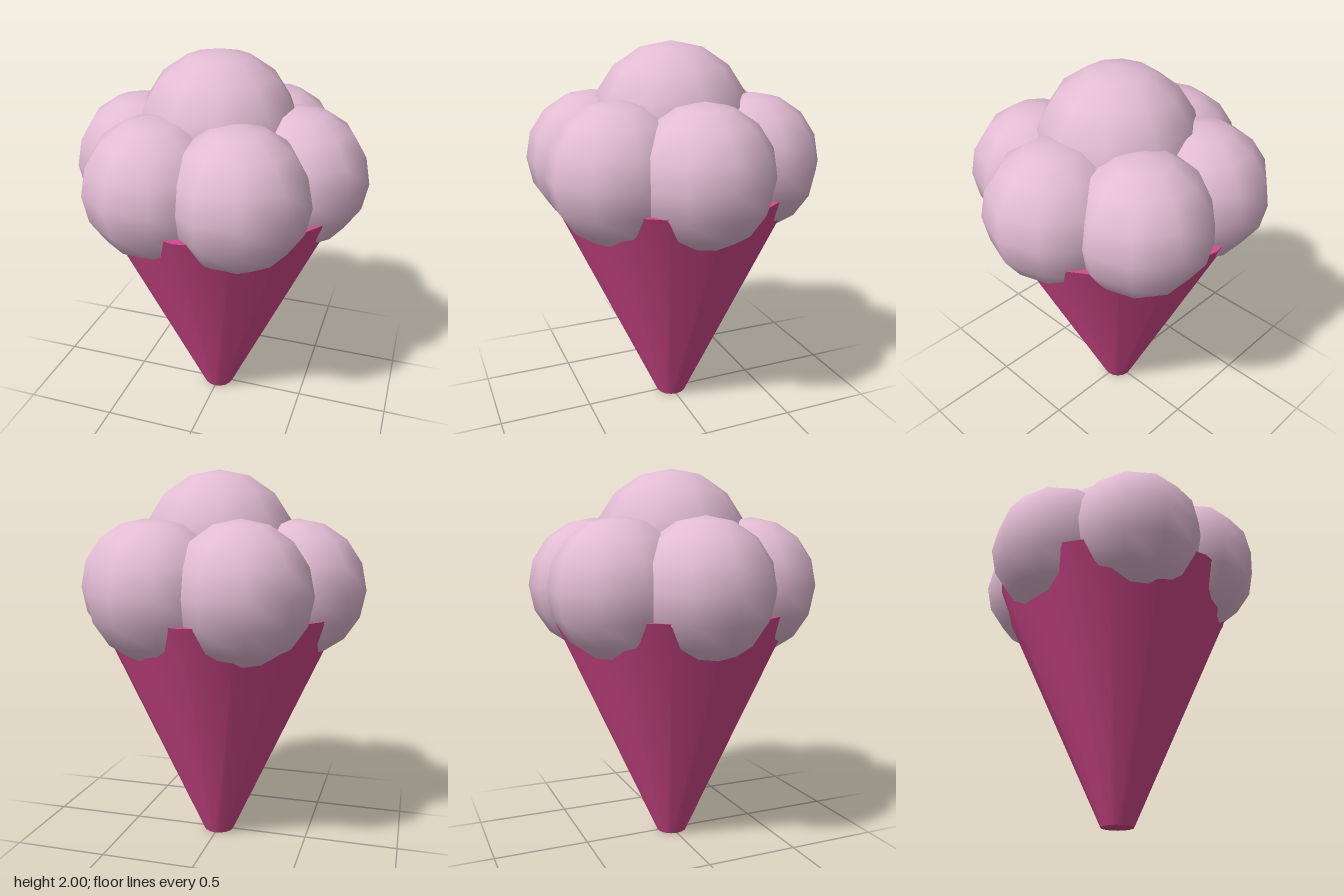
import * as THREE from 'three';

export function createModel() {
  const model = new THREE.Group();
  model.name = 'iceCreamCone';

  const cream = new THREE.MeshStandardMaterial({ color: 0xe2bcd4 });
  cream.name = 'pale pink ice cream';
  const wafer = new THREE.MeshStandardMaterial({ color: 0xd5498d });
  wafer.name = 'raspberry cone';

  const add = (name, geometry, material, x, y, z) => {
    const mesh = new THREE.Mesh(geometry, material);
    mesh.name = name;
    mesh.position.set(x, y, z);
    model.add(mesh);
  };

  // Tapered cone with a flat tip and closed rim
  const coneHeight = 1.26;
  add('cone', new THREE.CylinderGeometry(0.66, 0.083, coneHeight, 16), wafer, 0, coneHeight / 2, 0);

  // Ring of six overlapping scoops
  const scoop = new THREE.SphereGeometry(0.36, 10, 8);
  for (let i = 0; i < 6; i++) {
    const a = (i * Math.PI) / 3;
    add(`ringScoop${i + 1}`, scoop, cream, 0.42 * Math.cos(a), 1.39, 0.42 * Math.sin(a));
  }

  // Larger scoop on top
  add('topScoop', new THREE.SphereGeometry(0.42, 10, 8), cream, 0, 1.58, 0);

  return model;
}
